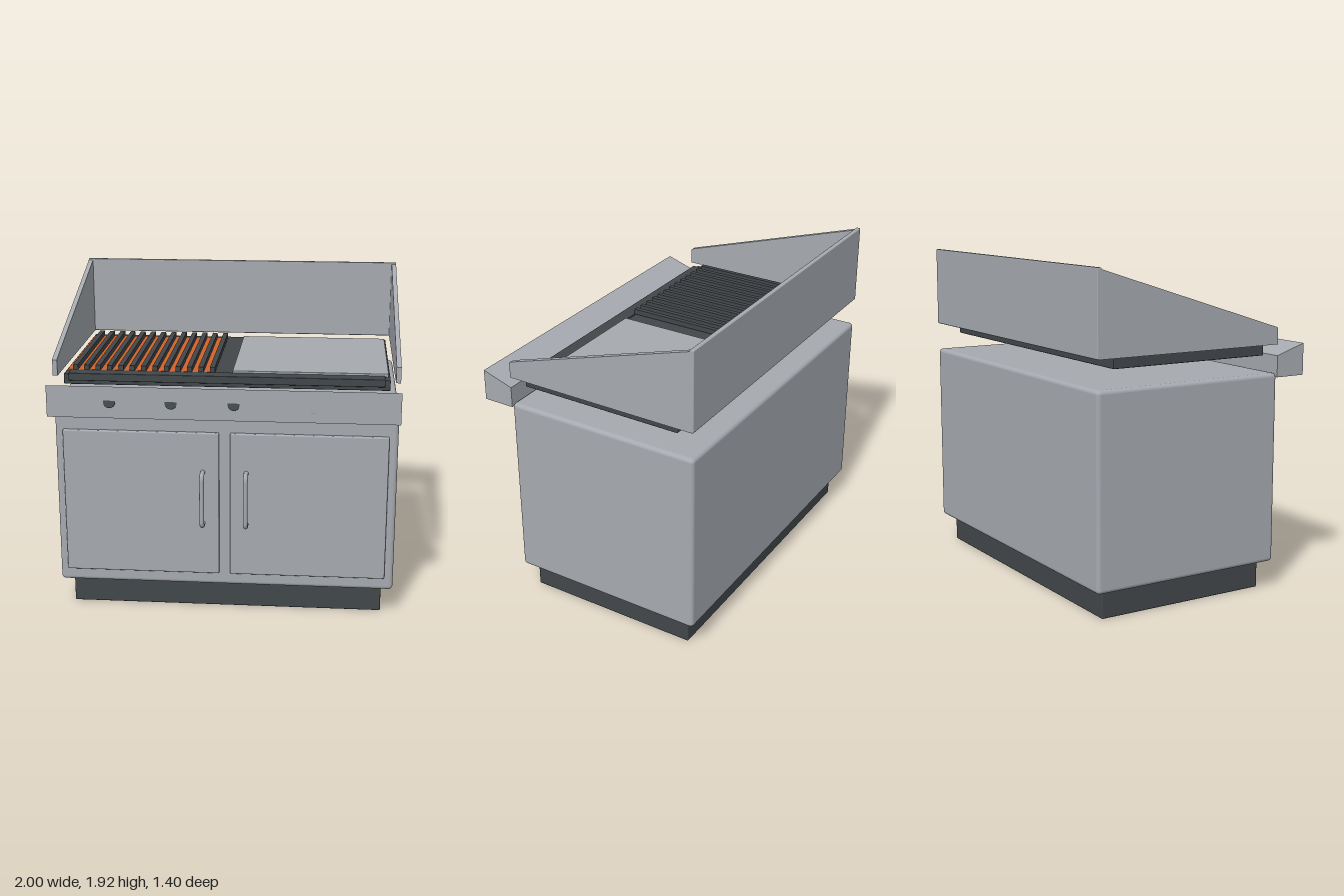
import * as THREE from 'three';
import { RoundedBoxGeometry } from 'three/addons/geometries/RoundedBoxGeometry.js';

export function createModel() {
  const model = new THREE.Group();
  model.name = 'grillStation';

  const paint = (name, color) => {
    const m = new THREE.MeshStandardMaterial({ color });
    m.name = name;
    return m;
  };
  const steel = paint('steel', 0xa6aab0);
  const iron = paint('castIron', 0x42474a);
  const ember = paint('emberOrange', 0xd2622a);

  const add = (name, geometry, material, parent = model) => {
    const mesh = new THREE.Mesh(geometry, material);
    mesh.name = name;
    parent.add(mesh);
    return mesh;
  };

  // Box given by its limits on each axis, with optional rounded edges
  const block = (name, material, [x0, x1], [y0, y1], [z0, z1], r = 0, parent = model) => {
    const size = [x1 - x0, y1 - y0, z1 - z0];
    const geo = r ? new RoundedBoxGeometry(...size, 3, r) : new THREE.BoxGeometry(...size);
    const mesh = add(name, geo, material, parent);
    mesh.position.set((x0 + x1) / 2, (y0 + y1) / 2, (z0 + z1) / 2);
    return mesh;
  };

  // Side profile of [z, y] points, extruded along x from x0 to x1
  const profile = (name, points, x0, x1, material) => {
    const shape = new THREE.Shape(points.map(([z, y]) => new THREE.Vector2(-z, y)));
    const geo = new THREE.ExtrudeGeometry(shape, { depth: x1 - x0, bevelEnabled: false });
    geo.rotateY(Math.PI / 2);
    geo.translate(x0, 0, 0);
    return add(name, geo, material);
  };

  // Cabinet on its recessed plinth
  block('plinth', iron, [-0.933, 0.933], [0, 0.17], [-0.633, 0.437], 0.008);
  block('cabinet', steel, [-1, 1], [0.165, 1.28], [-0.7, 0.5], 0.024);

  // Doors with bent tube handles
  const handlePath = new THREE.CurvePath();
  const v = (y, z) => new THREE.Vector3(0, y, z);
  const yLow = 0.568, yHigh = 0.886, zOut = 0.59, bend = 0.035;
  handlePath.add(new THREE.LineCurve3(v(yLow, 0.51), v(yLow, zOut - bend)));
  handlePath.add(new THREE.QuadraticBezierCurve3(v(yLow, zOut - bend), v(yLow, zOut), v(yLow + bend, zOut)));
  handlePath.add(new THREE.LineCurve3(v(yLow + bend, zOut), v(yHigh - bend, zOut)));
  handlePath.add(new THREE.QuadraticBezierCurve3(v(yHigh - bend, zOut), v(yHigh, zOut), v(yHigh, zOut - bend)));
  handlePath.add(new THREE.LineCurve3(v(yHigh, zOut - bend), v(yHigh, 0.51)));
  const handleGeo = new THREE.TubeGeometry(handlePath, 64, 0.014, 12);
  [['right', [-0.953, -0.035], -0.13], ['left', [0.03, 0.948], 0.125]].forEach(([side, span, hx]) => {
    block(side + 'Door', steel, span, [0.245, 1.125], [0.49, 0.522], 0.008);
    add(side + 'Handle', handleGeo, steel).position.x = hx;
  });

  // Control panel with sloping top
  profile('controlPanel', [[0.5, 1.255], [0.69, 1.255], [0.69, 1.44], [0.5, 1.38]], -1, 1, steel);

  // Knobs and lamp, tipped upward so only the lower rim stands out
  const dial = (name, x, y, z, radius, length, material) => {
    const geo = new THREE.CylinderGeometry(radius, radius, length, 24);
    geo.rotateX(Math.PI / 2 - 0.3);
    add(name, geo, material).position.set(x, y, z);
  };
  [-0.64, -0.29, 0.065].forEach((x, i) => dial('knob' + (i + 1), x, 1.345, 0.673, 0.034, 0.04, iron));
  dial('indicatorLamp', 0.51, 1.333, 0.675, 0.029, 0.016, ember);

  // Cooking top: pan, grease trough, ember bed, grate bars and griddle plate
  block('cookPan', iron, [-0.95, 0.945], [1.38, 1.443], [-0.57, 0.437], 0.005);
  block('greaseTrough', iron, [-0.92, 0.915], [1.405, 1.45], [0.365, 0.453], 0.004);
  block('emberBed', ember, [-0.94, -0.08], [1.44, 1.45], [-0.51, 0.367]);
  const grate = new THREE.Group();
  grate.name = 'grate';
  model.add(grate);
  for (let i = 0; i < 13; i++) {
    const x = -0.893 + i * 0.0673;
    block('grateBar' + (i + 1), iron, [x - 0.015, x + 0.015], [1.448, 1.48], [-0.512, 0.37], 0, grate);
  }
  block('griddlePlate', steel, [0.032, 0.935], [1.44, 1.462], [-0.512, 0.367], 0.003);

  // Splash guard: back wall and two sloping sides
  block('backGuard', steel, [-1, 1], [1.445, 1.924], [-0.7, -0.673], 0.006);
  const guard = [[0.5, 1.445], [0.5, 1.538], [0.49, 1.545], [-0.675, 1.915], [-0.69, 1.915], [-0.69, 1.445]];
  profile('rightGuard', guard, -1, -0.972, steel);
  profile('leftGuard', guard, 0.972, 1, steel);

  return model;
}
